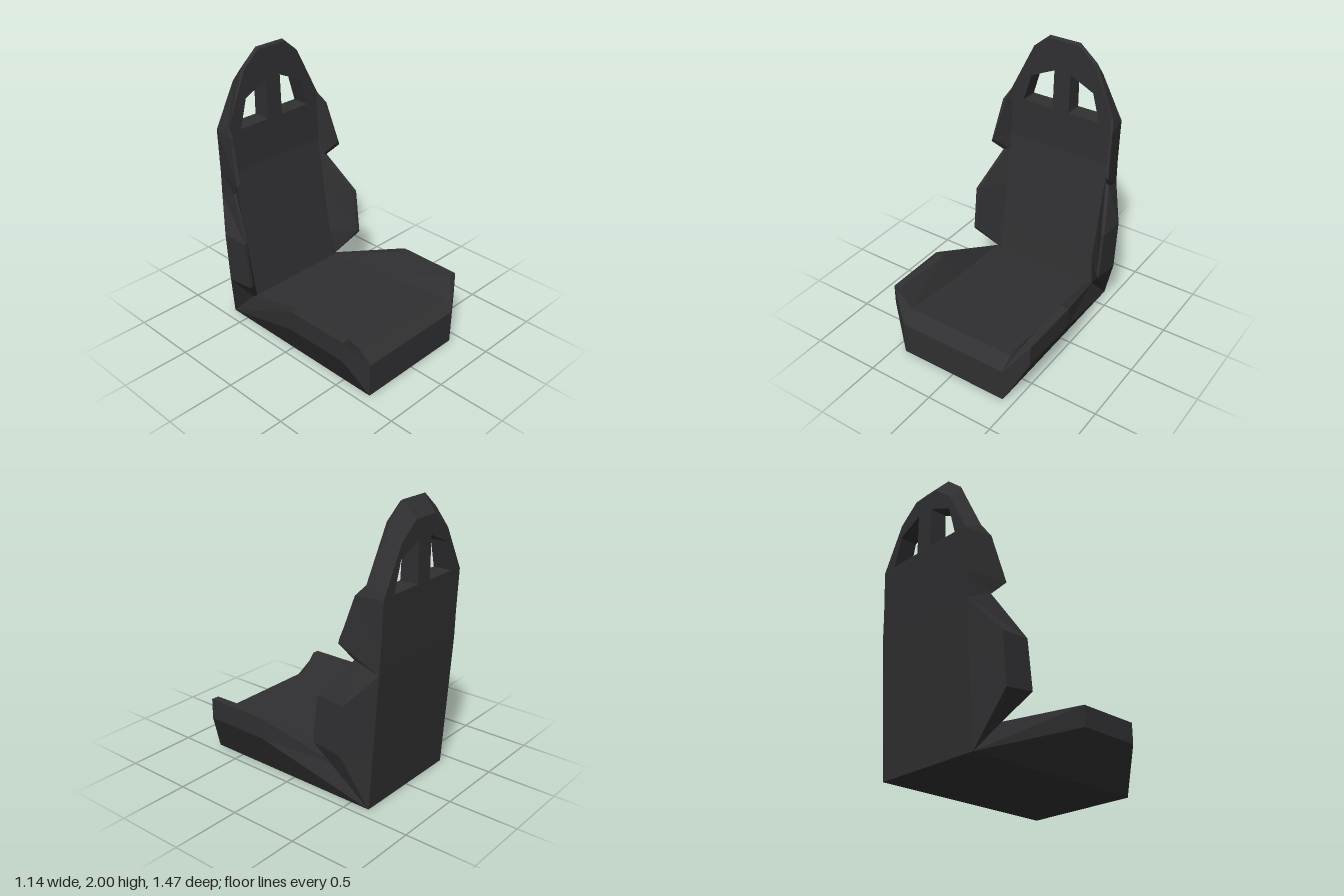
import * as THREE from 'three';

const material = new THREE.MeshStandardMaterial({ color: 0x303032, flatShading: true });

// Flat-shaded mesh from quads [a, b, c, d]; collapsed triangles are skipped
function quadMesh(name, quads) {
  const pos = [];
  const tri = (...p) => {
    const [a, b, c] = p.map((v) => new THREE.Vector3(...v));
    if (b.clone().sub(a).cross(c.clone().sub(a)).length() < 1e-6) return;
    for (const v of p) pos.push(...v);
  };
  for (const [a, b, c, d] of quads) {
    tri(a, b, c);
    tri(a, c, d);
  }
  const g = new THREE.BufferGeometry();
  g.setAttribute('position', new THREE.Float32BufferAttribute(pos, 3));
  g.computeVertexNormals();
  const mesh = new THREE.Mesh(g, material);
  mesh.name = name;
  return mesh;
}

const flip = ([x, y, z]) => [-x, y, z];

// Skin between neighbouring sections, on the left side and mirrored to the right
function sides(name, rings) {
  const quads = [];
  for (let i = 0; i < rings.length - 1; i++) {
    for (let j = 0; j < rings[i].length - 1; j++) {
      const q = [rings[i][j], rings[i + 1][j], rings[i + 1][j + 1], rings[i][j + 1]];
      quads.push(q, q.map(flip).reverse());
    }
  }
  return quadMesh(name, quads);
}

// Strip spanning from -x to +x along a path of points
function band(name, path) {
  const quads = [];
  for (let i = 0; i < path.length - 1; i++) {
    const a = path[i], b = path[i + 1];
    quads.push([flip(a), a, b, flip(b)]);
  }
  return quadMesh(name, quads);
}

// Front plane of the headrest
const frontZ = (y) => -0.585 - 0.037 * (y - 1.17);
const backZ = -0.73;

// Belt openings, counter-clockwise from the front
const leftHole = [[0.065, 1.47], [0.31, 1.47], [0.25, 1.675], [0.065, 1.76]];
const holes = [leftHole, leftHole.map(([x, y]) => [-x, y]).reverse()];

// Symmetric pierced plate from its left outline, bottom to top
function plate(name, half, zAt, mirror) {
  const v = (p) => new THREE.Vector2(...p);
  const right = half.map(([x, y]) => [-x, y]).reverse();
  const shape = new THREE.Shape([...half, ...right].map(v));
  for (const h of holes) shape.holes.push(new THREE.Path(h.map(v)));
  const g = new THREE.ShapeGeometry(shape).toNonIndexed();
  const p = g.attributes.position;
  for (let i = 0; i < p.count; i++) {
    p.setXYZ(i, mirror * p.getX(i), p.getY(i), zAt(p.getY(i)));
  }
  g.computeVertexNormals();
  const mesh = new THREE.Mesh(g, material);
  mesh.name = name;
  return mesh;
}

export function createModel() {
  const model = new THREE.Group();
  model.name = 'bucketSeat';

  // Cushion sections, front to back: bottom, widest, top outer, top inner, seat edge
  const bottomFront = [0.42, 0, 0.735], bottomBack = [0.42, 0, -0.645];
  const lipLow = [0.42, 0.25, 0.735], lipHigh = [0.42, 0.33, 0.645];
  const seatMid = [0.408, 0.285, 0.16], seatBack = [0.39, 0.23, -0.415];
  const hip = [0.425, 0.235, -0.42];
  const cushion = [
    [bottomFront, bottomFront, lipLow, lipHigh, lipHigh],
    [bottomFront, [0.57, 0.31, 0.635], [0.57, 0.46, 0.635], [0.515, 0.46, 0.63], lipHigh],
    [[0.42, 0, 0.16], [0.57, 0.31, 0.16], [0.57, 0.46, 0.16], [0.5, 0.46, 0.16], seatMid],
    [bottomBack, bottomBack, hip, hip, seatBack],
  ];
  model.add(sides('cushionBolsters', cushion));
  model.add(band('cushion', [bottomBack, bottomFront, lipLow, lipHigh, seatMid, seatBack]));

  // Backrest sections, bottom to top: back edge, outer, front outer, front inner, panel edge
  const waist = [0.42, 0.97, -0.71], shoulder = [0.415, 1.46, backZ];
  const chest = [0.415, 1.15, -0.717];
  const neck = [0.417, 1.53, -0.6];
  const crownSide = [0.25, 1.89, -0.635], crownTop = [0.12, 2, -0.635];
  const backSide = [0.25, 1.77, backZ], backTop = [0.1, 1.89, backZ];
  const rim = (x, y) => [x, y, frontZ(y)];
  const backrest = [
    [bottomBack, bottomBack, hip, hip, seatBack],
    [[0.42, 0.4, -0.672], [0.55, 0.4, -0.505], [0.55, 0.43, -0.285], [0.525, 0.44, -0.29], [0.395, 0.43, -0.45]],
    [[0.42, 0.76, -0.696], [0.55, 0.76, -0.535], [0.55, 0.77, -0.325], [0.525, 0.77, -0.33], [0.4, 0.77, -0.513]],
    [waist, waist, [0.45, 1.04, -0.54], [0.425, 1.05, -0.545], [0.405, 1.05, -0.563]],
    [chest, chest, [0.49, 1.14, -0.445], [0.47, 1.17, -0.44], [0.41, 1.17, -0.585]],
    [shoulder, shoulder, [0.45, 1.46, -0.54], [0.43, 1.46, -0.54], rim(0.406, 1.46)],
    [shoulder, shoulder, neck, neck, rim(0.405, 1.53)],
    [backSide, backSide, crownSide, crownSide, rim(0.24, 1.885)],
    [backTop, backTop, crownTop, crownTop, rim(0.115, 1.985)],
  ];
  model.add(sides('backrestBolsters', backrest));
  model.add(band('backrestFront', backrest.slice(0, 5).map((r) => r[4])));
  model.add(band('backrestRear', backrest.slice(0, 6).map((r) => r[0]).reverse()));
  model.add(band('headrestTop', [rim(0.115, 1.985), crownTop, backTop]));

  // Headrest plates with belt openings
  model.add(plate('headrestFront',
    [[0.41, 1.17], [0.406, 1.46], [0.405, 1.53], [0.24, 1.885], [0.115, 1.985]], frontZ, 1));
  model.add(plate('headrestRear', [shoulder, backSide, backTop].map(([x, y]) => [x, y]), () => backZ, -1));

  // Inner walls of the belt openings
  const walls = [];
  for (const h of holes) {
    h.forEach(([x, y], i) => {
      const [u, v] = h[(i + 1) % h.length];
      walls.push([[x, y, frontZ(y)], [u, v, frontZ(v)], [u, v, backZ], [x, y, backZ]]);
    });
  }
  model.add(quadMesh('beltOpenings', walls));

  return model;
}
